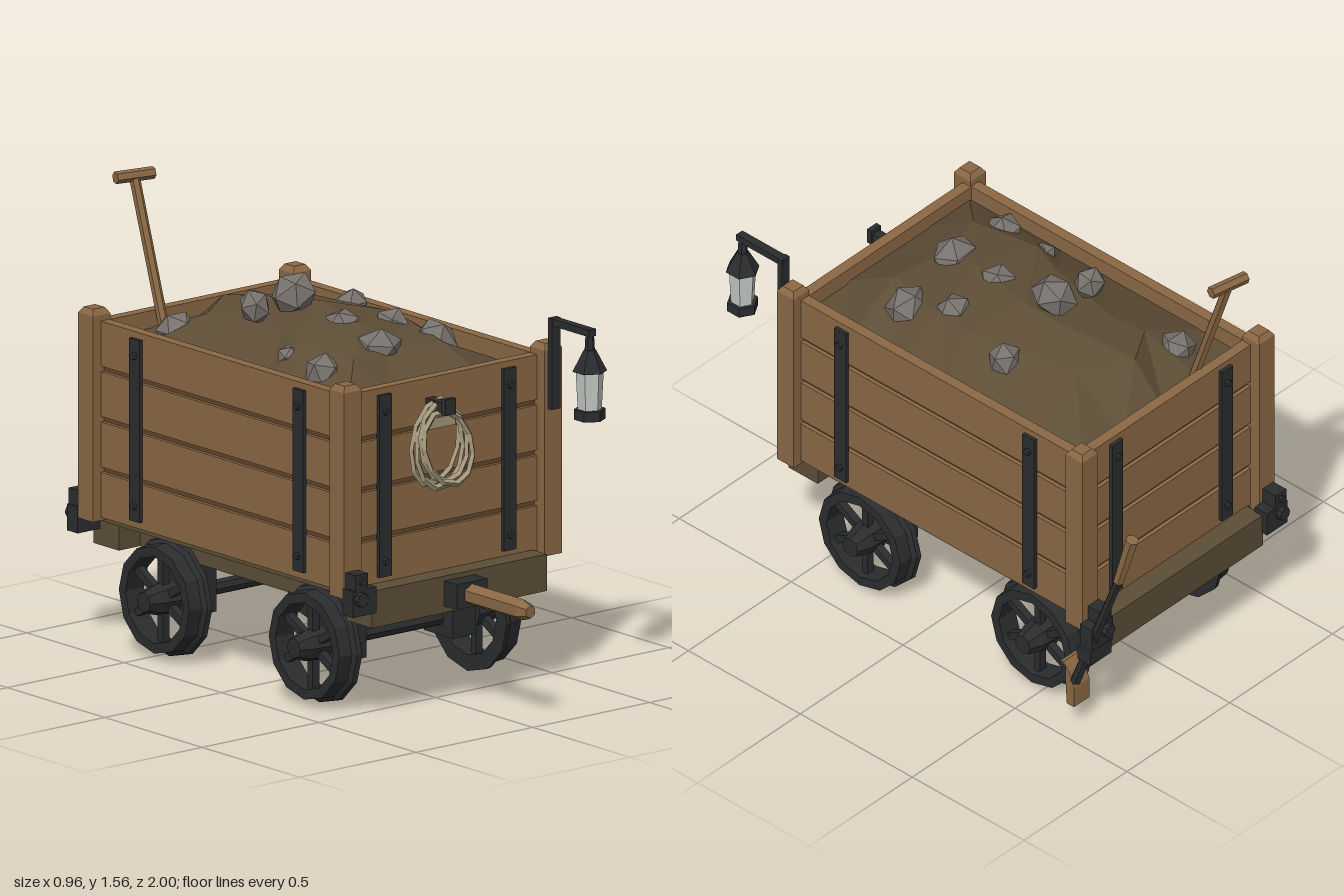
import * as THREE from 'three';

const mat = (name, color) => new THREE.MeshStandardMaterial({ name, color, flatShading: true });

export function createModel() {
  const wood = mat('plank wood', 0x8a6844);
  const groove = mat('groove wood', 0x5f452b);
  const beamWood = mat('dark beam wood', 0x5c4e37);
  const dirt = mat('dirt', 0x5e4e37);
  const iron = mat('iron', 0x2b2c2e);
  const stone = mat('stone', 0x77726d);
  const rope = mat('rope', 0xa3977c);
  const glass = mat('lamp glass', 0xc3c7c4);

  const root = new THREE.Group();
  root.name = 'wagon';
  const body = new THREE.Group();
  body.name = 'wagonBody';
  body.position.set(-0.01, 0, -0.08);
  root.add(body);

  const add = (parent, name, geo, m, x = 0, y = 0, z = 0) => {
    const mesh = new THREE.Mesh(geo, m);
    mesh.name = name;
    mesh.position.set(x, y, z);
    parent.add(mesh);
    return mesh;
  };
  const box = (parent, name, m, w, h, d, x, y, z) =>
    add(parent, name, new THREE.BoxGeometry(w, h, d), m, x, y, z);
  // Cylinder running from point a to point b
  const rod = (parent, name, m, a, b, r0, r1 = r0, sides = 6) => {
    const p = new THREE.Vector3(...a), q = new THREE.Vector3(...b);
    const dir = q.clone().sub(p);
    const mesh = add(parent, name, new THREE.CylinderGeometry(r1, r0, dir.length(), sides), m);
    mesh.position.copy(p).add(q).multiplyScalar(0.5);
    mesh.quaternion.setFromUnitVectors(new THREE.Vector3(0, 1, 0), dir.normalize());
    return mesh;
  };

  // Plank walls, each built facing +z and turned into place
  const wall = (name, length, dist, angle, strapX) => {
    const g = new THREE.Group();
    g.name = name;
    g.rotation.y = angle;
    body.add(g);
    box(g, 'wallBacking', groove, length, 0.65, 0.022, 0, 0.785, dist - 0.025);
    for (let i = 0; i < 4; i++)
      box(g, 'plank', wood, length, 0.153, 0.038, 0, 0.528 + i * 0.1715, dist - 0.019);
    for (const s of [-1, 1]) {
      box(g, 'strap', iron, 0.053, 0.62, 0.014, s * strapX, 0.787, dist + 0.006);
      for (const y of [0.53, 1.04])
        rod(g, 'strapBolt', iron, [s * strapX, y, dist], [s * strapX, y, dist + 0.024], 0.015, 0.012);
    }
  };
  wall('frontWall', 0.8, 0.643, 0, 0.267);
  wall('backWall', 0.8, 0.643, Math.PI, 0.267);
  wall('leftWall', 1.24, 0.433, Math.PI / 2, 0.42);
  wall('rightWall', 1.24, 0.433, -Math.PI / 2, 0.42);

  // Corner posts with bevelled caps
  for (const sx of [-1, 1]) for (const sz of [-1, 1]) {
    const x = sx * 0.43, z = sz * 0.645;
    box(body, 'cornerPost', wood, 0.075, 0.7, 0.075, x, 0.79, z);
    const cap = add(body, 'postCap', new THREE.CylinderGeometry(0.034, 0.053, 0.02, 4), wood, x, 1.15, z);
    cap.rotation.y = Math.PI / 4;
  }

  // Chassis
  box(body, 'floor', beamWood, 0.82, 0.03, 1.28, 0, 0.445, 0);
  for (const s of [-1, 1]) {
    box(body, 'sideBeam', beamWood, 0.1, 0.105, 1.2, s * 0.235, 0.385, 0);
    box(body, 'endBeam', beamWood, 0.75, 0.125, 0.13, 0, 0.395, s * 0.65);
  }

  // Wheels and axles
  const rim = [[0.148, -0.04], [0.203, -0.04], [0.2, -0.022], [0.186, -0.01], [0.182, 0.04], [0.148, 0.04], [0.148, -0.04]]
    .map(p => new THREE.Vector2(...p));
  const makeWheel = (x, z, side) => {
    const g = new THREE.Group();
    g.name = 'wheel';
    g.position.set(x, 0.207, z);
    g.rotation.z = -side * Math.PI / 2;
    add(g, 'rim', new THREE.LatheGeometry(rim, 12), iron);
    add(g, 'hub', new THREE.CylinderGeometry(0.052, 0.058, 0.07, 8), iron, 0, 0.0, 0);
    add(g, 'hubCap', new THREE.CylinderGeometry(0.035, 0.052, 0.05, 8), iron, 0, 0.06, 0);
    for (let i = 0; i < 6; i++) {
      const a = i * Math.PI / 3;
      const spoke = box(g, 'spoke', iron, 0.12, 0.028, 0.026, Math.cos(a) * 0.1, 0, -Math.sin(a) * 0.1);
      spoke.rotation.y = a;
    }
    body.add(g);
  };
  for (const z of [-0.385, 0.385]) {
    rod(body, 'axle', iron, [-0.4, 0.207, z], [0.4, 0.207, z], 0.026, 0.026, 8);
    for (const s of [-1, 1]) {
      makeWheel(s * 0.35, z, s);
      box(body, 'axleBlock', iron, 0.098, 0.185, 0.15, s * 0.235, 0.242, z);
    }
  }

  // Iron corner fittings
  for (const [x, z, s] of [[-0.43, 0.625, 1], [-0.43, -0.79, -1], [0.42, -0.79, -1]]) {
    box(root, 'cornerFitting', iron, 0.1, 0.09, 0.055, x, 0.432, z);
    box(root, 'fittingLug', iron, 0.052, 0.06, 0.06, x - 0.015, 0.5, z);
    rod(root, 'fittingBolt', iron, [x - 0.02, 0.445, z], [x - 0.02, 0.445, z + s * 0.045], 0.028, 0.024, 8);
    rod(root, 'lugBolt', iron, [x - 0.015, 0.505, z], [x - 0.015, 0.505, z + s * 0.04], 0.013);
  }

  // Hitch and drawbar
  box(root, 'hitchPlate', iron, 0.13, 0.086, 0.075, -0.01, 0.398, 0.663);
  rod(root, 'drawbar', wood, [-0.01, 0.398, 0.68], [-0.01, 0.398, 0.96], 0.036, 0.036);
  rod(root, 'drawbarTip', wood, [-0.01, 0.398, 0.96], [-0.01, 0.398, 1.0], 0.036, 0.022);

  // Heaped dirt load
  const heap = new THREE.PlaneGeometry(0.8, 1.24, 4, 6).rotateX(-Math.PI / 2);
  const hp = heap.attributes.position;
  for (let i = 0; i < hp.count; i++) {
    const x = hp.getX(i), z = hp.getZ(i);
    const bump = (1 - (x / 0.4) ** 2) * (1 - (z / 0.62) ** 2);
    const inside = bump > 0.01 ? 1 : 0;
    hp.setXYZ(i, x + inside * 0.05 * Math.sin(i * 5.3), 1.06 + 0.165 * Math.sqrt(Math.max(bump, 0)) * (0.9 + 0.1 * Math.sin(i * 2.7)),
      z + inside * 0.05 * Math.cos(i * 3.1));
  }
  add(body, 'dirtHeap', heap, dirt);

  // Rocks: x, y, z, radius
  const rocks = [
    [-0.25, 1.09, -0.53, 0.07], [0.18, 1.09, -0.5, 0.043], [-0.19, 1.225, -0.2, 0.06], [-0.04, 1.245, -0.18, 0.08],
    [0.23, 1.15, -0.21, 0.065], [-0.29, 1.13, 0.095, 0.045], [-0.03, 1.185, 0.06, 0.064], [0.16, 1.15, 0.085, 0.07],
    [-0.3, 1.11, 0.285, 0.073], [-0.06, 1.15, 0.28, 0.085], [0.22, 1.125, 0.24, 0.08]];
  rocks.forEach(([x, y, z, r], i) => {
    const rock = add(root, 'rock', new THREE.IcosahedronGeometry(r, 0), stone, x, y, z);
    rock.rotation.set(i * 1.3, i * 2.1, i * 0.7);
    rock.scale.set(1.05, 0.9, 0.95);
  });

  // Shovel stuck in the load
  rod(root, 'shovelShaft', wood, [-0.203, 1.0, -0.63], [-0.188, 1.545, -0.822], 0.018, 0.018);
  rod(root, 'shovelGrip', wood, [-0.258, 1.545, -0.835], [-0.117, 1.545, -0.808], 0.021, 0.021);

  // Lantern on its bracket
  const lx = 0.415, lz = 0.795;
  box(root, 'lampPost', iron, 0.036, 0.31, 0.02, lx, 1.095, 0.612);
  box(root, 'lampArm', iron, 0.03, 0.024, 0.21, lx, 1.237, 0.705);
  rod(root, 'lampHook', iron, [lx, 1.16, lz], [lx, 1.235, lz], 0.018, 0.014);
  rod(root, 'lampRoof', iron, [lx, 1.105, lz], [lx, 1.178, lz], 0.058, 0.02);
  rod(root, 'lampGlass', glass, [lx, 0.97, lz], [lx, 1.108, lz], 0.04, 0.047);
  rod(root, 'lampBase', iron, [lx, 0.942, lz], [lx, 0.977, lz], 0.053, 0.053);

  // Coiled rope on a peg
  box(root, 'ropePeg', iron, 0.035, 0.035, 0.1, -0.077, 1.035, 0.61);
  box(root, 'ropePegEnd', iron, 0.045, 0.055, 0.02, -0.077, 1.04, 0.66);
  for (let i = 0; i < 4; i++) {
    const coil = add(root, 'ropeCoil', new THREE.TorusGeometry(0.105, 0.01, 4, 11), rope,
      -0.077 + (i - 1.5) * 0.008, 0.91 - (i % 2) * 0.015, 0.605 + i * 0.013);
    coil.scale.set(0.95, 1.35 - i * 0.05, 1);
    coil.rotation.set(-0.06 - i * 0.03, 0, (i - 1.5) * 0.2);
  }
  box(root, 'ropeTie', rope, 0.115, 0.035, 0.02, -0.075, 0.98, 0.615);

  // Brake lever, pivot and shoe
  const bx = 0.45;
  rod(root, 'brakeLever', iron, [bx, 0.21, -0.725], [bx, 0.74, -0.922], 0.019, 0.015);
  rod(root, 'brakeGrip', wood, [bx, 0.725, -0.917], [bx, 0.93, -0.978], 0.019, 0.023);
  box(root, 'brakePivot', iron, 0.1, 0.055, 0.06, 0.43, 0.365, -0.79);
  const shoe = new THREE.Shape([[-0.66, 0.262], [-0.685, 0.25], [-0.685, 0.18], [-0.69, 0.1], [-0.722, 0.1], [-0.722, 0.18], [-0.7, 0.235], [-0.675, 0.265]]
    .map(p => new THREE.Vector2(...p)));
  const shoeMesh = add(root, 'brakeShoe', new THREE.ExtrudeGeometry(shoe, { depth: 0.075, bevelEnabled: false }), wood, 0.455);
  shoeMesh.rotation.y = -Math.PI / 2;

  return root;
}
